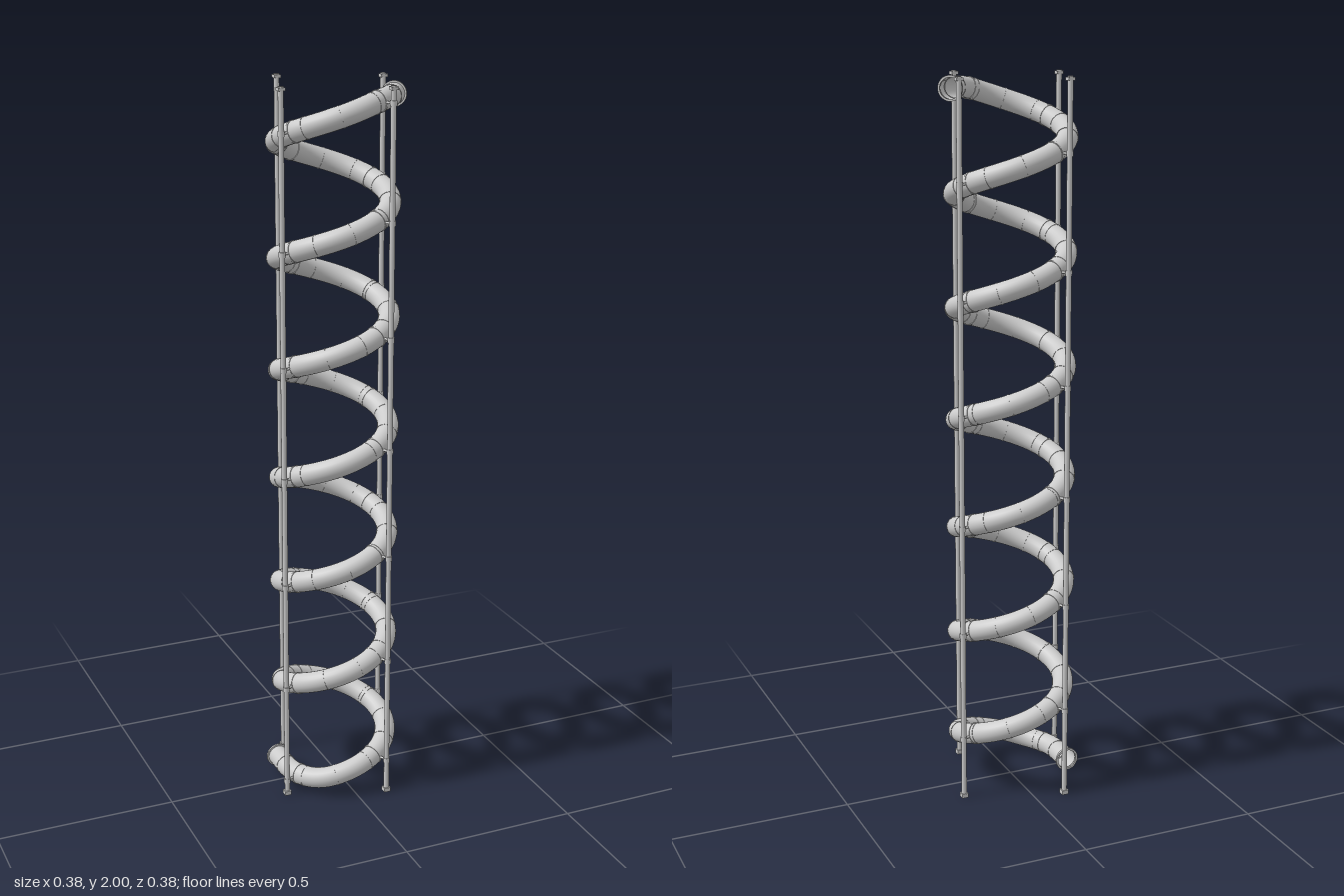
import * as THREE from 'three';

const RADIUS = 0.15, TUBE = 0.029, PITCH = 0.31;
const START = Math.PI, END = Math.PI * (0.2 - 12); // the tube climbs as the angle falls
const TAIL_LOW = 0.068, TAIL_HIGH = 0.053;
const TURN = (START - END) * RADIUS;
const TOTAL = TURN + TAIL_LOW + TAIL_HIGH;

// Helix height, easing to level at both ends
function heightAt(a) {
  const soft = v => 0.007 * Math.log1p(Math.exp(v / 0.007));
  const h = 0.155 - PITCH * a / (2 * Math.PI);
  return h < 1 ? 0.043 + soft(h - 0.043) : 1.962 - soft(1.962 - h) + 2 * (soft(1.962 - h) - soft(1.962 - h));
}

// Helical path with a straight tail at each end
class SpiralPath extends THREE.Curve {
  getPoint(t, target = new THREE.Vector3()) {
    const d = t * TOTAL - TAIL_LOW;
    const a = START - THREE.MathUtils.clamp(d, 0, TURN) / RADIUS;
    const over = d < 0 ? d : Math.max(0, d - TURN);
    return target.set(
      RADIUS * Math.cos(a) + over * Math.sin(a),
      heightAt(a),
      RADIUS * Math.sin(a) - over * Math.cos(a)
    );
  }
}

export function createModel() {
  const model = new THREE.Group();
  const material = new THREE.MeshStandardMaterial({ color: 0xcccccc, side: THREE.DoubleSide });
  const add = (name, geometry, parent = model) => {
    const mesh = new THREE.Mesh(geometry, material);
    mesh.name = name;
    parent.add(mesh);
    return mesh;
  };
  const path = new SpiralPath();
  path.arcLengthDivisions = 3000;
  const up = new THREE.Vector3(0, 1, 0);

  // Open spiral tube
  add('spiralTube', new THREE.TubeGeometry(path, 900, TUBE, 24, false));

  // Rectangular-section hoop around the tube
  const hoop = (outer, width) => new THREE.LatheGeometry([
    [TUBE - 0.001, -width / 2], [outer, -width / 2], [outer, -width / 2],
    [outer, width / 2], [outer, width / 2], [TUBE - 0.001, width / 2]
  ].map(p => new THREE.Vector2(...p)), 24);
  const seamShape = hoop(TUBE + 0.001, 0.003);
  const clampShape = hoop(TUBE + 0.0015, 0.006);
  const rimShape = hoop(0.034, 0.006);
  const placeHoop = (name, shape, t, parent) => {
    const ring = add(name, shape, parent);
    path.getPoint(t, ring.position);
    ring.quaternion.setFromUnitVectors(up, path.getTangent(t));
  };
  const tAt = a => ((START - a) * RADIUS + TAIL_LOW) / TOTAL;

  // Joints between tube sections
  const seams = new THREE.Group();
  seams.name = 'tubeSeams';
  model.add(seams);
  const count = 66;
  for (let i = 0; i <= count; i++) {
    placeHoop('seam', seamShape, tAt(START + (END - START) * i / count), seams);
  }
  placeHoop('lowerRim', rimShape, 0.003 / TOTAL, model);
  placeHoop('upperRim', rimShape, 1 - 0.003 / TOTAL, model);

  // Four posts with end plates, and a bracket wherever the tube passes
  const poleRadius = 0.201;
  const poleShape = new THREE.CylinderGeometry(0.0075, 0.0075, 2, 12);
  const plateShape = new THREE.BoxGeometry(0.019, 0.012, 0.019);
  const sleeveShape = new THREE.CylinderGeometry(0.0092, 0.0092, 0.014, 12);
  const armLength = poleRadius - RADIUS - TUBE + 0.002;
  const armShape = new THREE.CylinderGeometry(0.0035, 0.0035, armLength, 8).rotateZ(Math.PI / 2);
  for (let i = 0; i < 4; i++) {
    const angle = THREE.MathUtils.degToRad(154.4 - 90 * i);
    const x = Math.cos(angle), z = Math.sin(angle);
    const post = new THREE.Group();
    post.name = 'supportPost';
    model.add(post);
    add('pole', poleShape, post).position.set(poleRadius * x, 1, poleRadius * z);
    add('footPlate', plateShape, post).position.set(poleRadius * x, 0.006, poleRadius * z);
    add('topPlate', plateShape, post).position.set(poleRadius * x, 1.993, poleRadius * z);
    post.children[2].scale.y = 0.7;
    for (let a = angle; a > END; a -= 2 * Math.PI) {
      const y = heightAt(a), r = poleRadius - armLength / 2;
      placeHoop('clamp', clampShape, tAt(a), post);
      const arm = add('bracketArm', armShape, post);
      arm.position.set(r * x, y, r * z);
      arm.rotation.y = -angle;
      add('sleeve', sleeveShape, post).position.set(poleRadius * x, y, poleRadius * z);
    }
  }
  return model;
}
